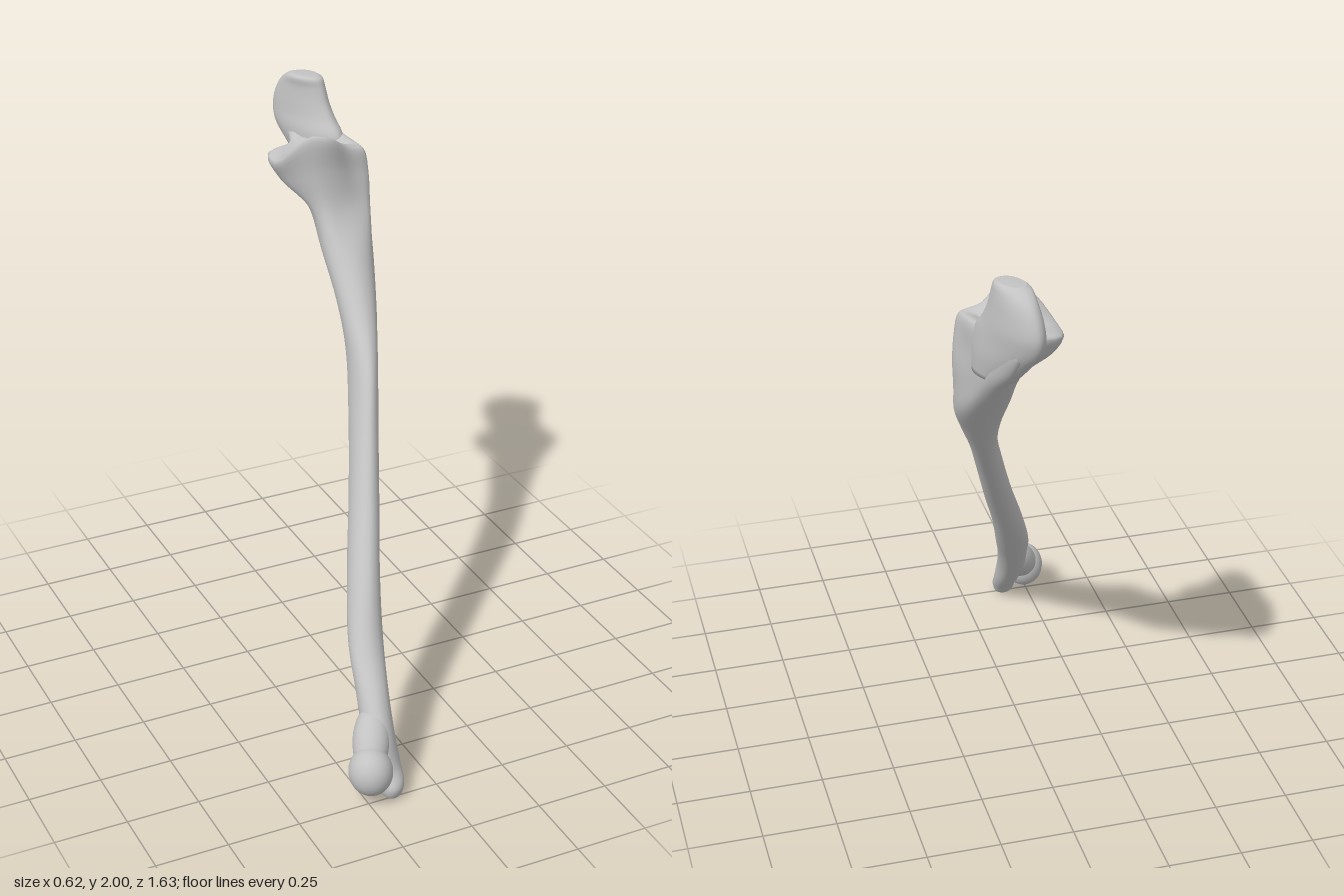
import * as THREE from 'three';

const SIDES = 12;

// Horizontal oval ring from its x and z limits; k skews x along z
function oval(y, x0, x1, z0, z1, k) {
  const cx = (x0 + x1) / 2, cz = (z0 + z1) / 2, rz = (z1 - z0) / 2;
  const rx = Math.sqrt(((x1 - x0) / 2) ** 2 - (k * rz) ** 2);
  return Array.from({ length: SIDES }, (_, j) => {
    const a = (j / SIDES) * Math.PI * 2, dz = -rz * Math.sin(a);
    return new THREE.Vector3(cx + rx * Math.cos(a) + k * dz, y, cz + dz);
  });
}

// Ring from [x, y, z] points, starting at +x and turning towards the back
const ring = (pts) => pts.map((p) => new THREE.Vector3(...p));

const middle = (r) => r.reduce((s, p) => s.add(p), new THREE.Vector3()).divideScalar(r.length);

// Ring pulled towards its middle
function shrink(r, f, dy) {
  const c = middle(r);
  return r.map((p) => p.clone().lerp(c, f).add(new THREE.Vector3(0, dy, 0)));
}

// Smooth skin over a stack of rings, closed at both ends
function loft(rings, perRing = 5, around = 40) {
  const columns = rings[0].map((_, j) => new THREE.CatmullRomCurve3(rings.map((r) => r[j]), false, 'centripetal'));
  const rows = (rings.length - 1) * perRing;
  const pos = [], index = [];
  for (let i = 0; i <= rows; i++) {
    const loop = new THREE.CatmullRomCurve3(columns.map((c) => c.getPoint(i / rows)), true, 'centripetal');
    for (let j = 0; j < around; j++) pos.push(...loop.getPoint(j / around).toArray());
  }
  const at = (i, j) => i * around + (j % around);
  for (let i = 0; i < rows; i++)
    for (let j = 0; j < around; j++)
      index.push(at(i, j), at(i, j + 1), at(i + 1, j + 1), at(i, j), at(i + 1, j + 1), at(i + 1, j));
  const base = pos.length / 3;
  pos.push(...middle(rings[0]).toArray(), ...middle(rings[rings.length - 1]).toArray());
  for (let j = 0; j < around; j++)
    index.push(base, at(0, j + 1), at(0, j), base + 1, at(rows, j), at(rows, j + 1));
  const g = new THREE.BufferGeometry();
  g.setAttribute('position', new THREE.Float32BufferAttribute(pos, 3));
  g.setIndex(index);
  g.computeVertexNormals();
  return g;
}

export function createModel() {
  const group = new THREE.Group();
  const bone = new THREE.MeshStandardMaterial({ color: 0xc2c2c2 });
  bone.name = 'bone grey';
  const add = (name, geometry) => {
    const m = new THREE.Mesh(geometry, bone);
    m.name = name;
    group.add(m);
    return m;
  };

  // Shaft limits: y, x0, x1, z0, z1
  const shaft = [
    [0.0, -0.172, -0.145, 0.735, 0.76],
    [0.015, -0.193, -0.125, 0.71, 0.775],
    [0.05, -0.202, -0.113, 0.68, 0.782],
    [0.1, -0.205, -0.107, 0.635, 0.745],
    [0.2, -0.215, -0.103, 0.55, 0.71],
    [0.3, -0.2, -0.085, 0.465, 0.635],
    [0.42, -0.175, -0.05, 0.365, 0.515],
    [0.6, -0.115, 0.0, 0.222, 0.395],
    [0.8, -0.038, 0.068, 0.072, 0.25],
    [1.0, 0.03, 0.132, -0.08, 0.118],
    [1.18, 0.085, 0.193, -0.233, 0.002],
    [1.32, 0.108, 0.252, -0.35, -0.138],
    [1.46, 0.11, 0.3, -0.475, -0.262],
  ].map((s) => oval(...s, -0.18));

  // Widening upper end, then the beaked rim of the socket
  const neck = ring([
    [0.3, 1.6, -0.45], [0.28, 1.6, -0.52], [0.26, 1.6, -0.58], [0.22, 1.6, -0.605],
    [0.17, 1.6, -0.58], [0.13, 1.6, -0.53], [0.105, 1.6, -0.48], [0.1, 1.6, -0.42],
    [0.13, 1.6, -0.375], [0.19, 1.6, -0.37], [0.26, 1.6, -0.38], [0.305, 1.6, -0.395],
  ]);
  const flare = ring([
    [0.29, 1.71, -0.47], [0.27, 1.71, -0.56], [0.24, 1.71, -0.67], [0.2, 1.71, -0.71],
    [0.15, 1.71, -0.66], [0.105, 1.7, -0.6], [0.035, 1.69, -0.56], [0.03, 1.69, -0.5],
    [0.095, 1.73, -0.41], [0.17, 1.74, -0.39], [0.25, 1.71, -0.405], [0.303, 1.71, -0.405],
  ]);
  const rim = ring([
    [0.284, 1.8, -0.47], [0.265, 1.81, -0.56], [0.225, 1.81, -0.7], [0.18, 1.81, -0.77],
    [0.135, 1.8, -0.71], [0.105, 1.77, -0.625], [0.012, 1.76, -0.595], [0.0, 1.76, -0.5],
    [0.085, 1.865, -0.41], [0.15, 1.86, -0.383], [0.22, 1.815, -0.41], [0.286, 1.795, -0.41],
  ]);
  add('shaftAndSocket', loft([...shaft, neck, flare, rim, shrink(rim, 0.18, 0.008), shrink(rim, 0.6, -0.01)]));

  // Upright hook standing behind the socket
  const hook = [
    [1.66, 0.16, 0.28, -0.66, -0.5],
    [1.74, 0.135, 0.28, -0.738, -0.5],
    [1.81, 0.115, 0.272, -0.798, -0.51],
    [1.86, 0.115, 0.26, -0.814, -0.552],
    [1.91, 0.12, 0.25, -0.804, -0.58],
    [1.96, 0.13, 0.243, -0.775, -0.597],
    [1.99, 0.138, 0.237, -0.735, -0.606],
    [2.0, 0.152, 0.225, -0.71, -0.622],
  ].map((s) => oval(...s, 0.33));
  add('elbowHook', loft(hook));

  // Rounded knuckle at the lower end and the swelling that joins it to the shaft
  const ball = (name, p, r) => {
    const m = add(name, new THREE.SphereGeometry(1, 32, 20));
    m.position.set(...p);
    m.scale.set(...r);
    return m;
  };
  ball('lowerKnuckle', [-0.236, 0.117, 0.735], [0.073, 0.083, 0.077]);
  const swell = ball('knuckleNeck', [-0.2, 0.185, 0.665], [0.062, 0.062, 0.12]);
  swell.lookAt(-0.245, 0.105, 0.745);

  return group;
}
